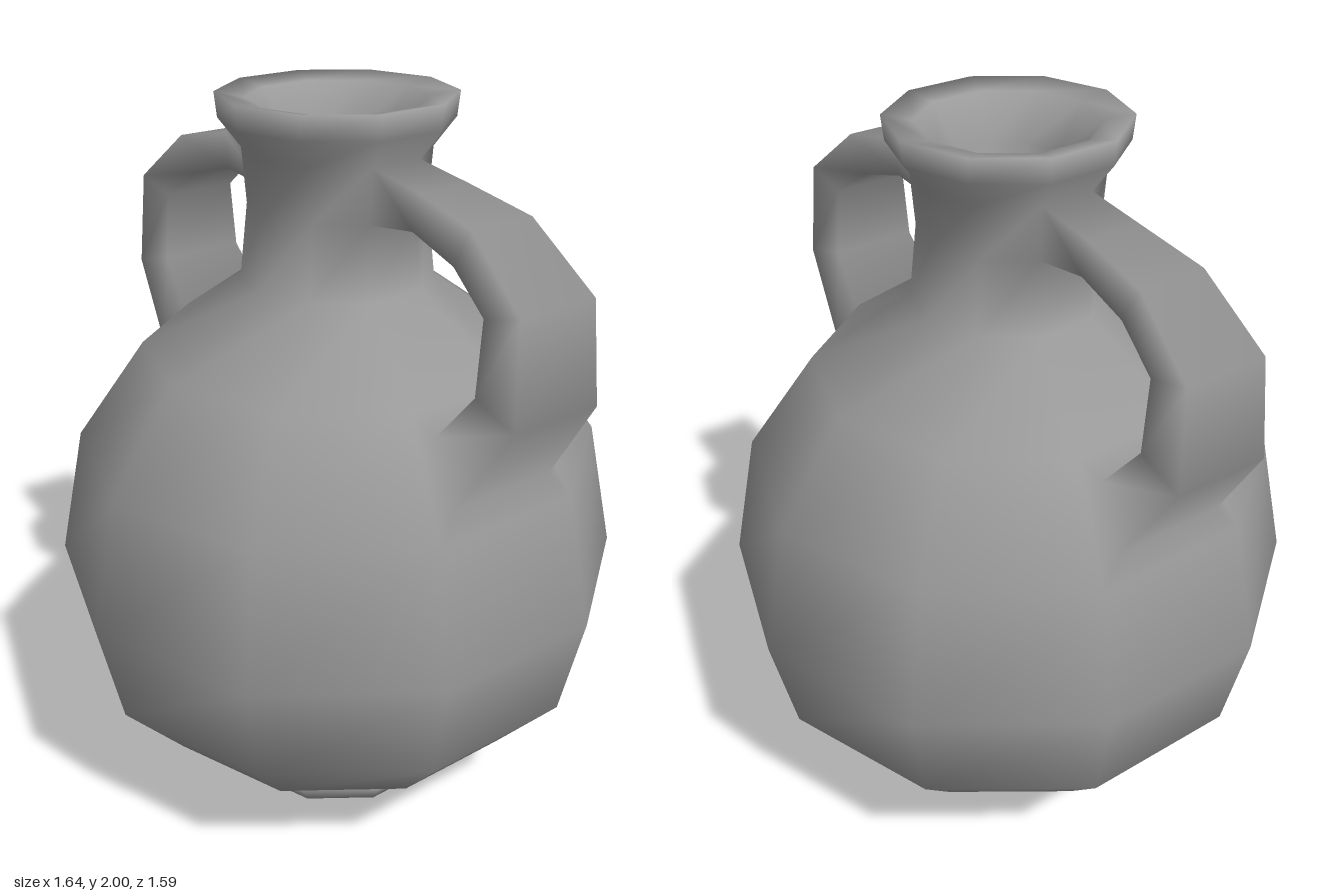
import * as THREE from 'three';

const SIDES = 10;
const material = new THREE.MeshStandardMaterial({ color: 0x9a9a9a });

// Radius and height of each ring, from the foot up over the rim and down the throat
const PROFILE = [
  [0.315, 0], [0.355, 0.06], [0.31, 0.13], // foot
  [0.555, 0.22], [0.73, 0.41], [0.795, 0.7], [0.72, 1.06], [0.53, 1.33], // belly
  [0.258, 1.52], [0.236, 1.715], [0.247, 1.86], // neck
  [0.305, 1.935], [0.312, 2], // rim
  [0.235, 1.985], [0.16, 1.87], [0.157, 1.5], // throat
];
const BELLY = 6; // ring below the face where a handle lands
const NECK = 9; // ring below the face where a handle starts

// Handle sections: outer x, outer y, inner x, inner y, outer and inner half width
const STATIONS = [
  [0.41, 1.835, 0.39, 1.738, 0.078, 0.078],
  [0.61, 1.795, 0.55, 1.695, 0.095, 0.09],
  [0.8, 1.645, 0.677, 1.61, 0.118, 0.11],
  [0.818, 1.38, 0.677, 1.42, 0.134, 0.125],
  [0.665, 1.14, 0.565, 1.285, 0.155, 0.14],
];

// Each vertex carries a normal that is summed over all parts, so joints shade smoothly
const vertex = (x, y, z) => ({ p: new THREE.Vector3(x, y, z), n: new THREE.Vector3() });

// Add the face's normal to its corners, weighted by corner angle
function addNormals(face) {
  const count = face.length;
  const normal = new THREE.Vector3();
  face.forEach((v, i) => {
    normal.add(v.p.clone().cross(face[(i + 1) % count].p));
  });
  normal.normalize();
  face.forEach((v, i) => {
    const next = face[(i + 1) % count].p.clone().sub(v.p);
    const previous = face[(i + count - 1) % count].p.clone().sub(v.p);
    v.n.addScaledVector(normal, next.angleTo(previous));
  });
}

// Turn polygons into one smooth mesh
function buildMesh(name, faces) {
  const positions = [];
  const normals = [];
  for (const face of faces) {
    for (let i = 1; i < face.length - 1; i++) {
      for (const v of [face[0], face[i], face[i + 1]]) {
        positions.push(...v.p.toArray());
        normals.push(...v.n.clone().normalize().toArray());
      }
    }
  }
  const geometry = new THREE.BufferGeometry();
  geometry.setAttribute('position', new THREE.Float32BufferAttribute(positions, 3));
  geometry.setAttribute('normal', new THREE.Float32BufferAttribute(normals, 3));
  const mesh = new THREE.Mesh(geometry, material);
  mesh.name = name;
  return mesh;
}

// Turned vessel with openings at the neck and belly for both handles
function vesselFaces(rings, handleSides) {
  const faces = [[...rings[0]].reverse(), rings[rings.length - 1]];
  for (let i = 0; i < rings.length - 1; i++) {
    for (let j = 0; j < SIDES; j++) {
      if ((i === BELLY || i === NECK) && handleSides.includes(j)) continue;
      const k = (j + 1) % SIDES;
      faces.push([rings[i][j], rings[i][k], rings[i + 1][k], rings[i + 1][j]]);
    }
  }
  return faces;
}

// Strap handle drawn out of the neck opening and flaring into the belly opening
function handleFaces(rings, side, sign) {
  const opening = (outer, inner) => [
    rings[outer][side + 1], rings[outer][side], rings[inner][side], rings[inner][side + 1],
  ];
  const sections = [
    opening(NECK + 1, NECK),
    ...STATIONS.map(([ox, oy, ix, iy, ow, iw]) => [
      [ox, oy, -ow], [ox, oy, ow], [ix, iy, iw], [ix, iy, -iw],
    ].map(([x, y, z]) => vertex(sign * x, y, sign * z))),
    opening(BELLY, BELLY + 1),
  ];
  const faces = [];
  for (let i = 0; i < sections.length - 1; i++) {
    const a = sections[i], b = sections[i + 1];
    for (let j = 0; j < 4; j++) {
      const k = (j + 1) % 4;
      faces.push([a[j], a[k], b[k], b[j]]);
    }
  }
  return faces;
}

export function createModel() {
  const rings = PROFILE.map(([r, y]) => Array.from({ length: SIDES }, (_, j) => {
    const angle = (j / SIDES) * Math.PI * 2;
    return vertex(r * Math.sin(angle), y, r * Math.cos(angle));
  }));
  const parts = {
    vessel: vesselFaces(rings, [2, 7]),
    leftHandle: handleFaces(rings, 2, 1),
    rightHandle: handleFaces(rings, 7, -1),
  };
  Object.values(parts).flat().forEach(addNormals);

  const jug = new THREE.Group();
  jug.name = 'jug';
  for (const [name, faces] of Object.entries(parts)) jug.add(buildMesh(name, faces));
  return jug;
}
